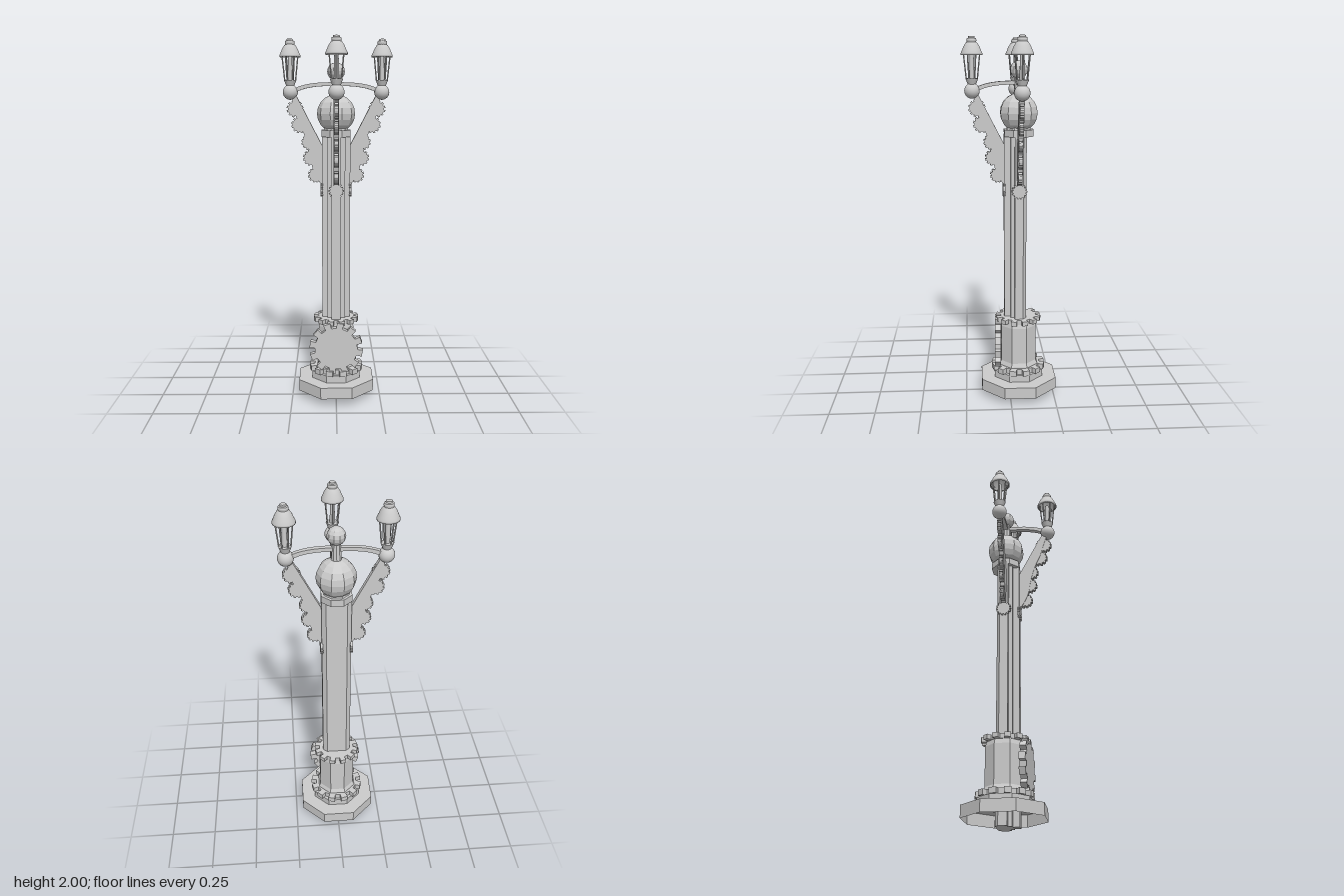
import * as THREE from 'three';

const flat = new THREE.MeshStandardMaterial({ color: 0xcccccc, flatShading: true, side: THREE.DoubleSide });
const smooth = new THREE.MeshStandardMaterial({ color: 0xcccccc, side: THREE.DoubleSide });

function add(parent, name, geometry, material = flat, x = 0, y = 0, z = 0) {
  const mesh = new THREE.Mesh(geometry, material);
  mesh.name = name;
  mesh.position.set(x, y, z);
  parent.add(mesh);
  return mesh;
}

// Extrusion centred on its own thickness
function slab(shape, depth) {
  const g = new THREE.ExtrudeGeometry(shape, { depth, bevelEnabled: false, curveSegments: 8 });
  g.translate(0, 0, -depth / 2);
  return g;
}

// Cog with square teeth, facing z
function cog(outer, inner, teeth, depth) {
  const pts = [];
  const step = (Math.PI * 2) / teeth;
  for (let i = 0; i < teeth; i++) {
    for (const [f, r] of [[-0.27, inner], [-0.25, outer], [0.25, outer], [0.27, inner]]) {
      const a = (i + 0.5 + f) * step;
      pts.push(new THREE.Vector2(Math.sin(a) * r, Math.cos(a) * r));
    }
  }
  return slab(new THREE.Shape(pts), depth);
}

const points = (list) => list.map(([x, y]) => new THREE.Vector2(x, y));
const octagon = (list) => new THREE.LatheGeometry(points(list), 8, Math.PI / 8);
const flatCog = (...args) => cog(...args).rotateX(-Math.PI / 2);

// Bracket arm reaching out along +x, with its cogs, arch and lantern
function createArm() {
  const arm = new THREE.Group();
  arm.name = 'lampArm';

  const wing = new THREE.Shape();
  wing.moveTo(0.04, 1.21);
  wing.lineTo(0.075, 1.21);
  wing.quadraticCurveTo(0.13, 1.27, 0.14, 1.36);
  wing.quadraticCurveTo(0.155, 1.46, 0.2, 1.55);
  wing.lineTo(0.245, 1.7);
  wing.lineTo(0.215, 1.7);
  wing.lineTo(0.075, 1.43);
  wing.lineTo(0.04, 1.43);
  add(arm, 'bracketWing', slab(wing, 0.028));

  // Cogs along the outer edge
  const cogs = [[0.223, 1.63, 0.046], [0.198, 1.545, 0.046], [0.148, 1.45, 0.042],
    [0.138, 1.365, 0.044], [0.113, 1.27, 0.042]];
  for (const [x, y, r] of cogs) add(arm, 'edgeCog', cog(r, r * 0.84, 12, 0.022), flat, x, y);
  const rootCog = add(arm, 'rootCog', cog(0.042, 0.035, 14, 0.014), flat, 0.079, 1.19);
  rootCog.rotation.y = Math.PI / 2;

  // Arch towards the finial
  const arch = new THREE.Shape();
  arch.moveTo(0, 1.752);
  arch.quadraticCurveTo(0.16, 1.757, 0.225, 1.715);
  arch.lineTo(0.235, 1.735);
  arch.quadraticCurveTo(0.16, 1.777, 0, 1.772);
  add(arm, 'arch', slab(arch, 0.026));

  const lamp = new THREE.Group();
  lamp.name = 'lantern';
  lamp.position.set(0.248, 0, 0);
  arm.add(lamp);
  add(lamp, 'lampBall', new THREE.SphereGeometry(0.041, 24, 16), smooth, 0, 1.72);
  add(lamp, 'lampFoot', new THREE.CylinderGeometry(0.034, 0.022, 0.03, 20), flat, 0, 1.77);
  add(lamp, 'lampBulb', new THREE.CylinderGeometry(0.011, 0.014, 0.13, 12), smooth, 0, 1.845);
  for (let i = 0; i < 6; i++) {
    const a = (i * Math.PI) / 3;
    const path = new THREE.LineCurve3(
      new THREE.Vector3(Math.cos(a) * 0.029, 1.78, Math.sin(a) * 0.029),
      new THREE.Vector3(Math.cos(a) * 0.043, 1.915, Math.sin(a) * 0.043));
    add(lamp, 'lampRod', new THREE.TubeGeometry(path, 1, 0.004, 6));
  }
  // Hollow hood and its knob
  const hood = [[0.05, 1.905], [0.057, 1.905], [0.057, 1.914], [0.05, 1.928], [0.042, 1.948], [0.03, 1.967], [0.024, 1.971]];
  add(lamp, 'lampHood', new THREE.LatheGeometry(points(hood), 28), smooth);
  const knob = [[0.024, 1.968], [0.026, 1.98], [0.024, 1.989], [0.017, 1.992], [0.016, 2], [0, 2]];
  add(lamp, 'lampKnob', new THREE.LatheGeometry(points(knob), 20), flat);
  return arm;
}

export function createModel() {
  const model = new THREE.Group();
  model.name = 'streetLamp';
  const post = new THREE.Group();
  post.name = 'post';
  post.position.z = -0.05;
  model.add(post);

  // Stepped foot, open underneath
  add(post, 'foot', octagon([[0.227, 0.04], [0.227, 0.105], [0.146, 0.105], [0.146, 0.145], [0.08, 0.145]]));
  add(post, 'lowerCollarCog', flatCog(0.152, 0.122, 12, 0.03), flat, 0, 0.16);
  add(post, 'pedestal', octagon([[0.115, 0.17], [0.115, 0.18], [0.106, 0.2], [0.106, 0.41], [0.098, 0.44]]));
  add(post, 'upperCollarCog', flatCog(0.127, 0.1, 12, 0.025), flat, 0, 0.448);

  // Ribbed shaft: flat back, ribs to both sides and the front
  const half = [[0.055, -0.04], [0.078, -0.022], [0.078, 0.024], [0.05, 0.024], [0.05, 0.045], [0.025, 0.045], [0.025, 0.08]];
  const outline = [...half, ...half.map(([x, z]) => [-x, z]).reverse()].map(([x, z]) => [x, -z]);
  const shaft = new THREE.ExtrudeGeometry(new THREE.Shape(points(outline)), { depth: 1.49, bevelEnabled: false });
  add(post, 'shaft', shaft.rotateX(-Math.PI / 2));

  // Capital, globe and finial
  add(post, 'capital', octagon([[0, 1.48], [0.085, 1.48], [0.085, 1.517], [0.07, 1.517], [0.066, 1.535], [0, 1.535]]));
  add(post, 'globe', new THREE.SphereGeometry(0.104, 10, 10), flat, 0, 1.605);
  add(post, 'finialStem', new THREE.CylinderGeometry(0.022, 0.028, 0.12, 10), flat, 0, 1.745);
  add(post, 'finialBall', new THREE.SphereGeometry(0.048, 10, 8), flat, 0, 1.83);

  // Large cog on the front of the pedestal, slightly askew
  const frontCog = add(post, 'frontCog', cog(0.15, 0.12, 12, 0.034), flat, 0, 0.305, 0.115);
  frontCog.rotation.set(0, -0.05, 0.1);
  const axle = add(post, 'cogAxle', new THREE.CylinderGeometry(0.03, 0.03, 0.06, 10), flat, 0, 0.305, 0.085);
  axle.rotation.x = Math.PI / 2;

  // Arms to both sides and the front
  for (const angle of [0, Math.PI, -Math.PI / 2]) {
    const arm = createArm();
    arm.rotation.y = angle;
    post.add(arm);
  }
  return model;
}
